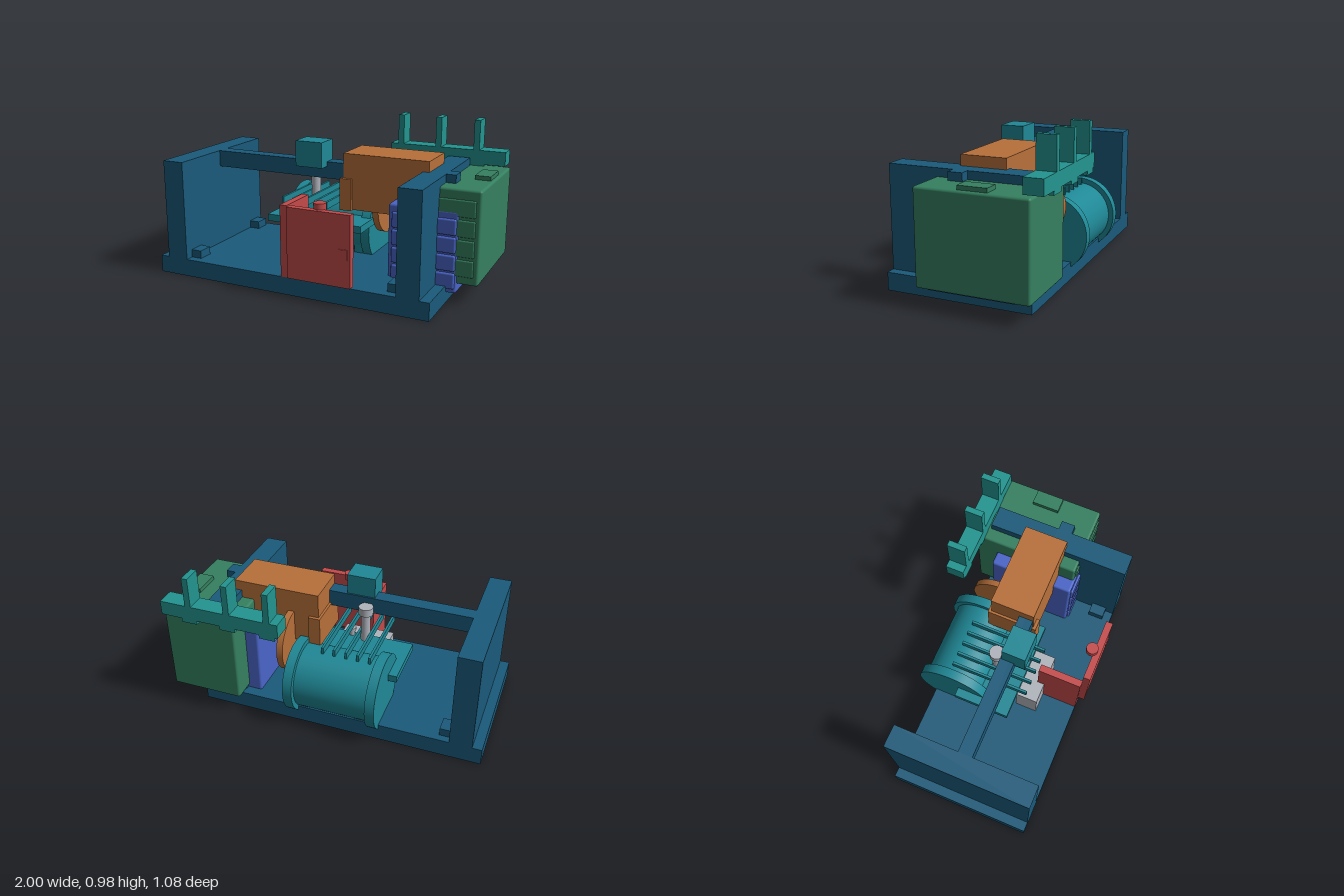
import * as THREE from 'three';
import { RoundedBoxGeometry } from 'three/addons/geometries/RoundedBoxGeometry.js';

const mat = (color) => new THREE.MeshStandardMaterial({ color });
const M = {
  frame: mat(0x1a5a7a), motor: mat(0x1f8896), bar: mat(0x239590), green: mat(0x358060),
  blue: mat(0x4a65c8), red: mat(0xc44a4a), orange: mat(0xb8703a), grey: mat(0xb0b4bc),
};

export function createModel() {
  const model = new THREE.Group();

  const add = (name, geometry, material, x, y, z) => {
    const mesh = new THREE.Mesh(geometry, material);
    mesh.name = name;
    mesh.position.set(x, y, z);
    model.add(mesh);
    return mesh;
  };
  // Box from its limits on each axis, optionally with rounded edges
  const box = (name, material, [x0, x1], [y0, y1], [z0, z1], r = 0) => {
    const size = [x1 - x0, y1 - y0, z1 - z0];
    const geometry = r ? new RoundedBoxGeometry(...size, 3, r) : new THREE.BoxGeometry(...size);
    return add(name, geometry, material, (x0 + x1) / 2, (y0 + y1) / 2, (z0 + z1) / 2);
  };
  // Upright cylinder between two heights
  const post = (name, material, r, y0, y1, x, z) =>
    add(name, new THREE.CylinderGeometry(r, r, y1 - y0, 32), material, x, (y0 + y1) / 2, z);
  // Cylinder lying along x
  const drum = (name, material, r, x0, x1, y, z) => {
    const geometry = new THREE.CylinderGeometry(r, r, x1 - x0, 64).rotateZ(Math.PI / 2);
    return add(name, geometry, material, (x0 + x1) / 2, y, z);
  };

  // Frame: base, end walls, top beam and corner blocks
  box('base', M.frame, [-1, 0.815], [0, 0.11], [-0.41, 0.495]);
  box('rightWall', M.frame, [-0.94, -0.8], [0.11, 0.74], [-0.41, 0.495]);
  box('leftWall', M.frame, [0.615, 0.755], [0.11, 0.74], [-0.41, 0.495]);
  box('topBeam', M.frame, [-0.8, 0.815], [0.635, 0.74], [-0.005, 0.085]);
  for (const x of [-0.8, 0.545])
    for (const z of [-0.365, 0.34])
      box('cornerBlock', M.frame, [x, x + 0.07], [0.11, 0.16], [z, z + 0.1]);

  // Motor with end flanges, feet, shelf and cooling fins
  drum('motorBody', M.motor, 0.203, -0.35, 0.215, 0.27, -0.272);
  for (const x of [-0.36, 0.165]) drum('motorFlange', M.motor, 0.235, x, x + 0.06, 0.27, -0.272);
  for (const x of [-0.26, 0.1]) box('motorFoot', M.motor, [x, x + 0.06], [0.11, 0.2], [-0.4, -0.1]);
  box('shelf', M.motor, [-0.415, 0.24], [0.32, 0.365], [-0.23, 0.13]);
  for (let i = 0; i < 5; i++) {
    const x = -0.268 + i * 0.075;
    box('coolingFin', M.motor, [x, x + 0.015], [0.47, 0.515], [-0.3, 0.2]);
  }
  box('beamBox', M.motor, [-0.19, -0.01], [0.71, 0.87], [0.005, 0.155]);

  // Pump block and its caps
  box('pumpBlock', M.grey, [-0.245, 0.08], [0.11, 0.325], [0.125, 0.265]);
  post('capStem', M.grey, 0.03, 0.46, 0.66, -0.15, -0.045);
  post('cap', M.grey, 0.045, 0.65, 0.7, -0.15, -0.045);
  post('smallStem', M.grey, 0.018, 0.36, 0.4, -0.01, 0.105);
  post('smallCap', M.grey, 0.025, 0.395, 0.42, -0.01, 0.105);

  // Orange housing, bracket and wheel
  box('housing', M.orange, [0.105, 0.655], [0.455, 0.805], [-0.19, 0.09]);
  box('housingBracket', M.orange, [0.09, 0.165], [0.45, 0.65], [-0.21, 0.11]);
  drum('wheel', M.orange, 0.2, 0.265, 0.305, 0.46, -0.19);

  // Red front panel with side plate, knob and handle
  box('frontPanel', M.red, [-0.05, 0.355], [0.125, 0.56], [0.49, 0.535]);
  box('sidePlate', M.red, [-0.115, -0.07], [0.11, 0.555], [0.22, 0.495]);
  post('panelKnob', M.red, 0.038, 0.55, 0.595, 0.138, 0.475);
  box('panelHandle', M.red, [0.285, 0.34], [0.34, 0.355], [0.53, 0.54]);
  box('panelHandle', M.red, [0.325, 0.34], [0.295, 0.345], [0.53, 0.54]);

  // Blue tank with a row of ribs on the front
  box('tank', M.blue, [0.45, 0.875], [0.065, 0.56], [-0.34, 0.205], 0.015);
  for (let i = 0; i < 4; i++) {
    const y = 0.095 + i * 0.108;
    box('tankRib', M.blue, [0.475, 0.865], [y, y + 0.095], [0.19, 0.22], 0.01);
  }

  // Green tank with front panels and a lid tab
  box('largeTank', M.green, [0.535, 1], [0.125, 0.69], [-0.48, 0.195], 0.015);
  for (let i = 0; i < 4; i++) {
    const y = 0.175 + i * 0.118;
    box('largeTankPanel', M.green, [0.57, 0.97], [y, y + 0.1], [0.18, 0.204], 0.008);
  }
  box('lidTab', M.green, [0.885, 0.98], [0.68, 0.715], [-0.235, -0.06]);

  // Rear bar with posts and feet
  box('rearBar', M.bar, [0.215, 0.975], [0.7, 0.79], [-0.54, -0.425]);
  for (const x of [0.265, 0.52, 0.77]) {
    box('barPost', M.bar, [x, x + 0.038], [0.79, 0.98], [-0.54, -0.425]);
    box('barFoot', M.bar, [x - 0.03, x + 0.07], [0.675, 0.7], [-0.54, -0.425]);
  }

  return model;
}
